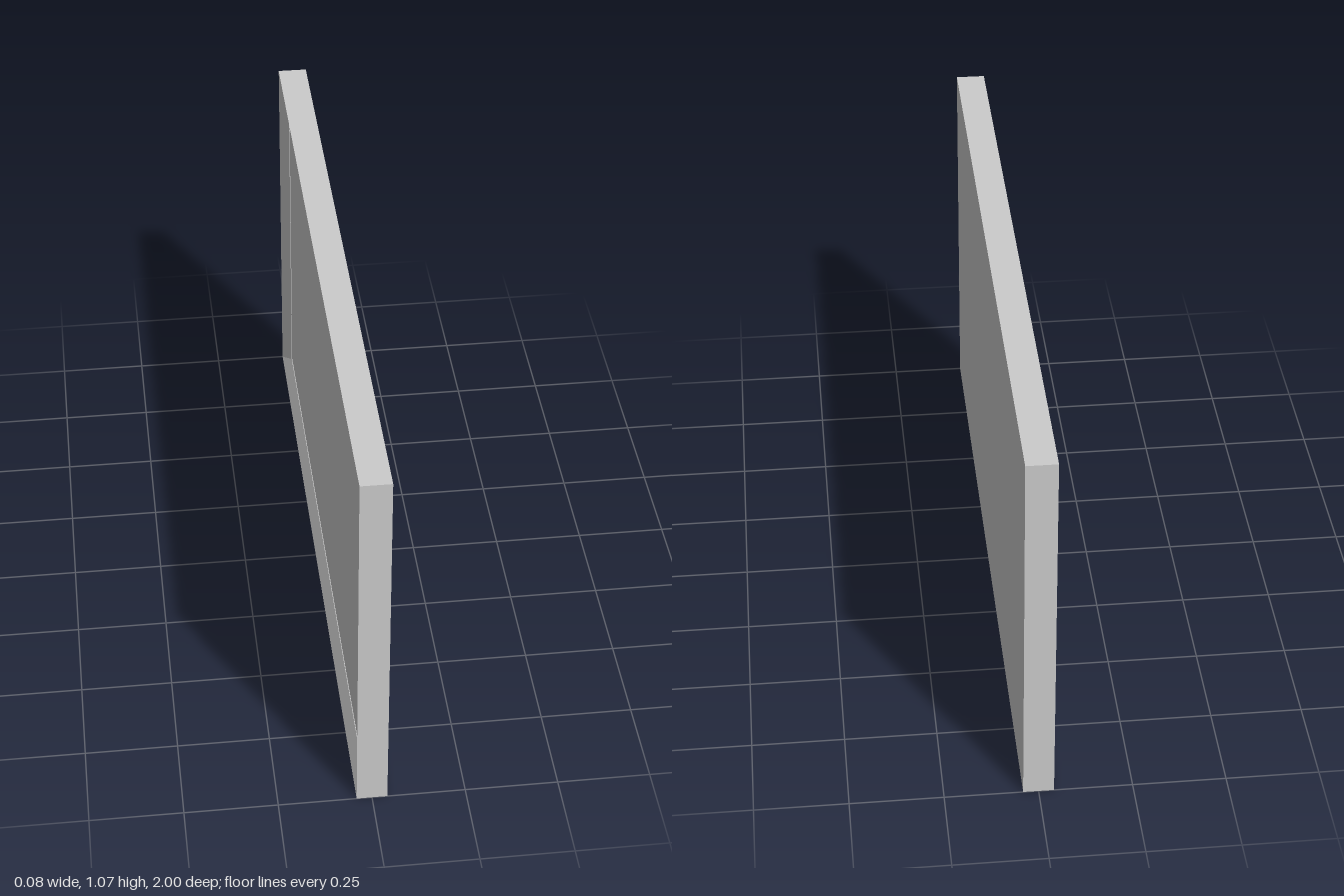
import * as THREE from 'three';

const WIDTH = 2;       // along z
const HEIGHT = 1.065;  // along y
const HALF_DEPTH = 0.041;

// Rectangle corners at depth x, counter-clockwise as seen from -x
function rectangle([x, insetY, insetZ]) {
  const y0 = insetY, y1 = HEIGHT - insetY, z = WIDTH / 2 - insetZ;
  return [[x, y0, -z], [x, y0, z], [x, y1, z], [x, y1, -z]];
}

// Joins successive rectangles with flat walls and closes both ends
function shellGeometry(levels) {
  const rings = levels.map(rectangle);
  const positions = [];
  const quad = (a, b, c, d) => positions.push(...a, ...b, ...c, ...a, ...c, ...d);
  for (let k = 0; k + 1 < rings.length; k++) {
    const a = rings[k], b = rings[k + 1];
    for (let i = 0; i < 4; i++) {
      const j = (i + 1) % 4;
      quad(a[i], a[j], b[j], b[i]);
    }
  }
  quad(...[...rings[0]].reverse());
  quad(...rings[rings.length - 1]);
  const geometry = new THREE.BufferGeometry();
  geometry.setAttribute('position', new THREE.Float32BufferAttribute(positions, 3));
  geometry.computeVertexNormals();
  return geometry;
}

export function createModel() {
  const group = new THREE.Group();
  group.name = 'framedPanel';
  const material = new THREE.MeshStandardMaterial({ color: 0xcccccc, flatShading: true });

  const addPart = (name, levels) => {
    const mesh = new THREE.Mesh(shellGeometry(levels), material);
    mesh.name = name;
    group.add(mesh);
  };

  // Frame: flat back, bevelled rim and a recess; levels are [x, insetY, insetZ]
  addPart('frame', [
    [HALF_DEPTH, 0, 0],
    [-HALF_DEPTH, 0, 0],
    [-0.018, 0.041, 0.073],
    [0.012, 0.041, 0.073],
  ]);

  // Panel standing in the recess with a narrow groove around it
  addPart('panel', [
    [0.014, 0.062, 0.1],
    [-0.019, 0.062, 0.1],
  ]);

  return group;
}
